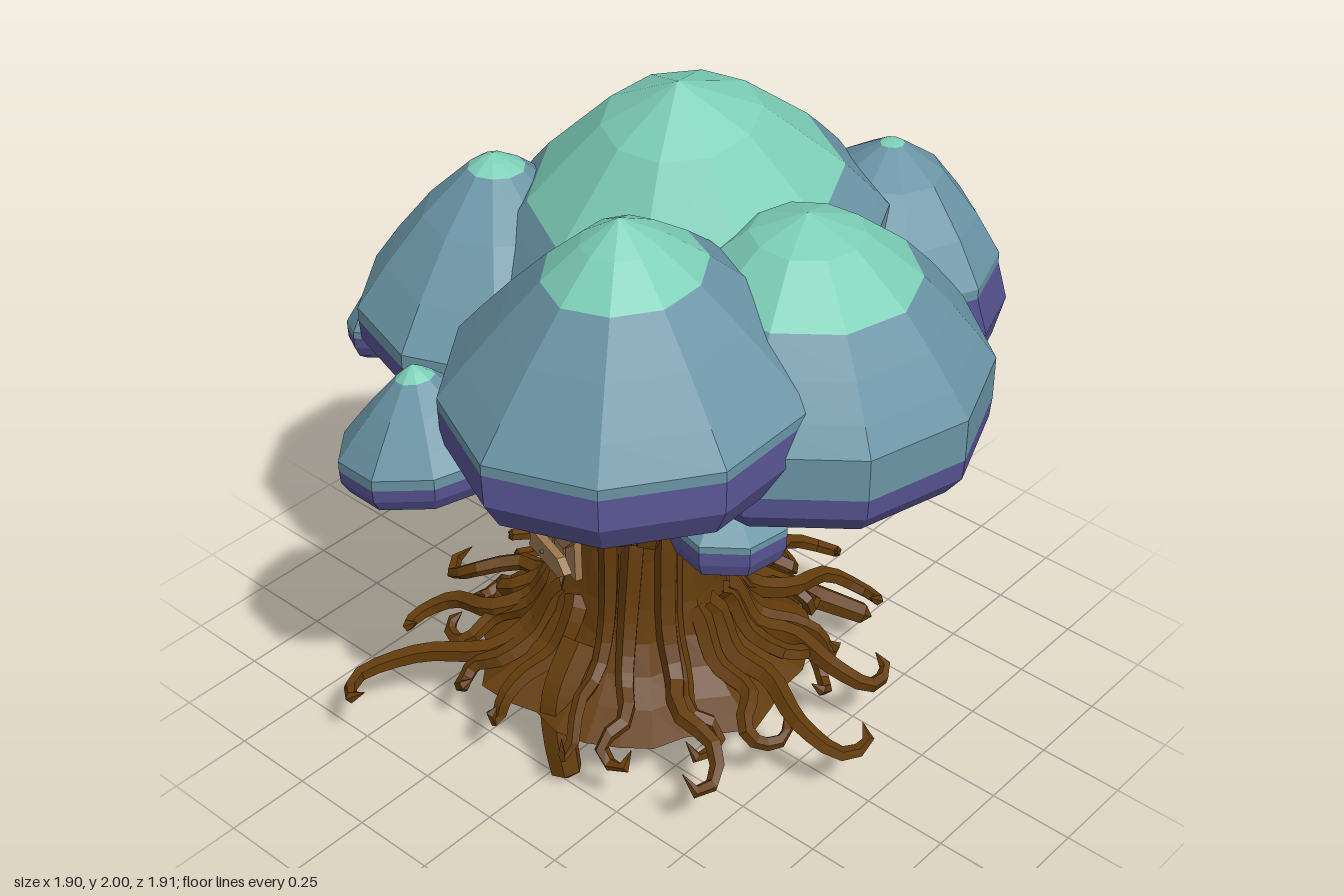
import * as THREE from 'three';

const mat = (name, color) =>
  Object.assign(new THREE.MeshStandardMaterial({ color, flatShading: true }), { name });
const M = {
  teal: mat('tealCrown', 0x7dcfb8),
  blue: mat('blueFoliage', 0x6a94a5),
  purple: mat('purpleRim', 0x575492),
  dark: mat('darkUnderside', 0x3d1a6e),
  bark: mat('bark', 0x623b0b),
  plank: mat('plankWood', 0x9f7952),
  nail: mat('nail', 0x66757a),
};

let seed = 7;
const rand = () => (seed = (seed * 16807) % 2147483647) / 2147483647;
const V = (x, y, z) => new THREE.Vector3(x, y, z);

function add(parent, name, geo, material, pos = [0, 0, 0], rot = [0, 0, 0]) {
  const m = new THREE.Mesh(geo, material);
  m.name = name;
  m.position.set(...pos);
  m.rotation.set(...rot);
  parent.add(m);
}

// Skin between closed rings listed from top to bottom; bands[i] is the material index of band i
function loft(rings, bands) {
  const pos = [], geo = new THREE.BufferGeometry();
  for (let i = 0; i < rings.length - 1; i++) {
    const a = rings[i], b = rings[i + 1], n = a.length, start = pos.length / 3;
    for (let j = 0; j < n; j++) {
      const k = (j + 1) % n;
      if (a[j].distanceTo(a[k]) > 1e-5) for (const p of [a[j], a[k], b[j]]) pos.push(p.x, p.y, p.z);
      if (b[j].distanceTo(b[k]) > 1e-5) for (const p of [a[k], b[k], b[j]]) pos.push(p.x, p.y, p.z);
    }
    if (bands) geo.addGroup(start, pos.length / 3 - start, bands[i]);
  }
  geo.setAttribute('position', new THREE.Float32BufferAttribute(pos, 3));
  geo.computeVertexNormals();
  return geo;
}

// Faceted foliage cap: pointed crown, blue dome, rounded purple rim, hollow dark underside
function cap(parent, name, { apex, c, r, crown, edge, band, bottom, round = 1.4, hollow = 0.74, tilt = [0, 0], lean = [0, 0], sides = 10 }) {
  const dome = f => [f, apex[1] - (apex[1] - edge) * f ** round];
  const s = t => crown + (1 - crown) * t;
  const rim = (f, t) => [f, band + (bottom - band) * t];
  const profile = [[0, apex[1]], dome(crown * 0.5), dome(crown), dome(s(0.4)), dome(s(0.75)), dome(1), [1, band],
    rim(0.99, 0.4), rim(0.9, 0.8), rim(hollow, 1), [hollow * 0.85, bottom + r * 0.06], [hollow * 0.6, bottom + r * 0.18], [0, bottom + r * 0.22]];
  const wobble = Array.from({ length: sides }, () => 0.97 + rand() * 0.07);
  const phase = rand() * 6;
  const rings = profile.map(([f, y], i) => wobble.map((w, j) => {
    const a = phase + (j / sides) * Math.PI * 2;
    const shift = i < 6 ? 1 - f : 0, out = i > 6 ? 1 : 0;
    const dx = f * w * r * Math.cos(a), dz = f * w * r * Math.sin(a);
    return V(c[0] + (apex[0] - c[0]) * shift + lean[0] * out + dx, y + tilt[0] * dx + tilt[1] * dz,
      c[1] + (apex[2] - c[1]) * shift + lean[1] * out + dz);
  }));
  add(parent, name, loft(rings, [0, 0, 1, 1, 1, 1, 2, 2, 2, 3, 3, 3]), [M.teal, M.blue, M.purple, M.dark]);
}

// Tapered tube along a smooth path
function limb(parent, name, points, r0, r1, sides = 5) {
  const curve = new THREE.CatmullRomCurve3(points), n = 16;
  const geo = new THREE.TubeGeometry(curve, n, 1, sides);
  const p = geo.attributes.position, v = V(0, 0, 0);
  for (let i = 0; i <= n; i++) {
    const o = curve.getPointAt(i / n), r = i === n ? 0.001 : r0 + (r1 - r0) * (i / n) ** 1.6;
    for (let j = 0; j <= sides; j++) {
      const k = i * (sides + 1) + j;
      v.fromBufferAttribute(p, k).sub(o).multiplyScalar(r).add(o);
      p.setXYZ(k, v.x, v.y, v.z);
    }
  }
  geo.computeVertexNormals();
  add(parent, name, geo, M.bark);
}

// Trunk outline as [height, radius], around a slightly offset axis
const CX = -0.035, CZ = 0.065;
const outline = [[1.34, 0.46], [1.2, 0.4], [1.1, 0.33], [1.0, 0.26], [0.85, 0.215], [0.65, 0.215],
  [0.5, 0.235], [0.4, 0.262], [0.32, 0.31], [0.26, 0.38], [0.21, 0.48]];
function trunkRadius(y) {
  const i = Math.max(1, outline.findIndex(o => o[0] <= y));
  const [y0, r0] = outline[i - 1], [y1, r1] = outline[i];
  return r0 + (r1 - r0) * (y0 - y) / (y0 - y1);
}
const around = (a, r, y) => V(CX + r * Math.cos(a), y, CZ + r * Math.sin(a));

function buildTrunk(parent) {
  const n = 32;
  const ring = (y, r) => Array.from({ length: n }, (_, j) => {
    const a = (j / n) * Math.PI * 2;
    return around(a, r * (1 + 0.04 * Math.sin(7 * a + 2 * y) + 0.03 * Math.sin(11 * a - 3 * y)), y);
  });
  const rings = [ring(1.36, 0), ...outline.map(([y, r]) => ring(y, r)), ring(0.21, 0)];
  add(parent, 'trunk', loft(rings), M.bark);
}

const boarded = a => { // sides of the trunk covered by planks
  const t = ((a % (2 * Math.PI)) + 2 * Math.PI) % (2 * Math.PI);
  return Math.abs(t - 2.1) < 0.5 || t > 5.6 || t < 0.25;
};

function buildRoots(parent) {
  const root = (a, reach, curl, r) => {
    const top = boarded(a) ? 0.47 : 0.6 + rand() * 0.4;
    const bend = (rand() - 0.5) * 0.3;
    const hump = 0.25 + rand() * 0.05;
    limb(parent, 'root', [
      around(a + bend, trunkRadius(top) - 0.012, top),
      around(a - bend * 0.3, trunkRadius(0.44) + 0.002, 0.44),
      around(a, trunkRadius(0.32) + 0.015, 0.32),
      around(a + curl * 0.12, 0.44, hump),
      around(a - curl * 0.2, (reach + 0.44) / 2, hump - 0.035),
      around(a - curl * 0.1, reach - 0.03, 0.195),
      around(a + curl * 0.16, reach, 0.2),
      around(a + curl * 0.26, reach - 0.035, 0.235)], r, 0.016);
  };
  // Long roots end near these ground points
  for (const [x, z] of [[-0.53, 0.78], [0.73, 0.04], [0.6, -0.25], [0.1, -0.64], [-0.25, -0.72],
    [-0.67, -0.06], [0.33, -0.55], [-0.71, 0.2], [0.52, 0.42], [-0.5, -0.45], [-0.62, 0.45]])
    root(Math.atan2(z - CZ, x - CX), Math.hypot(x - CX, z - CZ), rand() < 0.5 ? -0.4 : 0.4, 0.038);
  // Shorter roots fill the gaps
  for (let i = 0; i < 16; i++)
    root((i + rand() * 0.6) / 16 * Math.PI * 2, 0.52 + rand() * 0.07, (rand() - 0.5) * 1.1, 0.03 + rand() * 0.012);
  // Thick roots reaching down at the front and back
  limb(parent, 'frontRoot', [V(-0.03, 0.36, 0.34), V(-0.01, 0.24, 0.45), V(0.02, 0.12, 0.48), V(0.055, 0.0, 0.49)], 0.058, 0.045, 6);
  limb(parent, 'backRoot', [V(0.06, 0.36, -0.2), V(0.16, 0.22, -0.38), V(0.34, 0.11, -0.54)], 0.045, 0.032, 6);
}

function buildBranches(parent) {
  for (let i = 0; i < 14; i++) {
    const a = (i + rand() * 0.5) / 14 * Math.PI * 2, low = boarded(a) ? 0.98 : 0.72;
    limb(parent, 'branch', [around(a + 0.12, trunkRadius(low) - 0.01, low), around(a, trunkRadius(1.02) + 0.005, 1.02),
      around(a, 0.38, 1.15), around(a - 0.1, 0.48, 1.3)], 0.042, 0.028);
  }
  // Thin branches carrying the small caps, and a beam over the boarded opening
  for (const pts of [
    [[-0.2, 0.98, 0.2], [-0.38, 1.1, 0.24], [-0.6, 1.1, 0.28], [-0.82, 1.06, 0.27]],
    [[0.12, 0.86, 0.16], [0.24, 0.9, 0.22], [0.35, 0.9, 0.27], [0.44, 1.0, 0.27]],
    [[0.0, 0.9, -0.12], [0.06, 0.9, -0.3], [0.04, 0.92, -0.45], [0.03, 1.02, -0.53]],
    [[-0.1, 0.98, 0.26], [-0.14, 1.1, 0.4], [-0.18, 1.12, 0.58], [-0.2, 1.2, 0.73]],
    [[0.15, 0.92, -0.02], [0.26, 0.95, -0.18], [0.3, 1.0, -0.34], [0.28, 1.15, -0.5]],
    [[-0.33, 1.06, 0.24], [-0.24, 0.97, 0.28], [-0.11, 0.87, 0.3]],
  ]) limb(parent, 'thinBranch', pts.map(p => V(...p)), 0.036, 0.02);
}

function board(parent, name, w, h, [x, y, z], tilt = 0, yaw = 0) {
  add(parent, name, new THREE.BoxGeometry(w, h, 0.022), M.plank, [x, y, z], [0, yaw, tilt]);
}
function nail(parent, x, y, z) {
  add(parent, 'nail', new THREE.CylinderGeometry(0.006, 0.006, 0.012, 6), M.nail, [x, y, z], [Math.PI / 2, 0, 0]);
}
function signBoard(parent, name, w, h, x, y, z, tilt) {
  const s = new THREE.Shape([[-w / 2, -h / 2], [w * 0.32, -h / 2], [w / 2, 0], [w * 0.32, h / 2], [-w / 2, h / 2], [-w * 0.43, 0]]
    .map(p => new THREE.Vector2(...p)));
  add(parent, name, new THREE.ExtrudeGeometry(s, { depth: 0.025, bevelEnabled: false }), M.plank, [x, y, z], [0, 0, tilt]);
}

function buildPlanks(parent) {
  // Boarded opening with pointed signs on the front
  const front = new THREE.Group();
  front.name = 'frontBoards';
  front.position.set(-0.155, 0, 0.275);
  front.rotation.y = -0.35;
  for (let i = 0; i < 3; i++) board(front, 'uprightBoard', 0.06, 0.36 + 0.025 * i, [-0.06 + i * 0.065, 0.73 + 0.012 * i, 0], 0.03 * (i - 1));
  signBoard(front, 'signBoard', 0.33, 0.135, 0, 0.745, 0.02, -0.03);
  signBoard(front, 'lowerSign', 0.23, 0.065, -0.01, 0.575, 0.02, 0.05);
  for (const [x, y] of [[-0.02, 0.77], [-0.02, 0.71], [-0.03, 0.575]]) nail(front, x, y, 0.047);
  // Boards on the left side of the trunk
  const side = new THREE.Group();
  side.name = 'sideBoards';
  side.position.set(0.2, 0, -0.02);
  side.rotation.y = Math.PI / 2 + 0.25;
  board(side, 'uprightBoard', 0.095, 0.36, [0.015, 0.73, -0.005], 0.05);
  board(side, 'uprightBoard', 0.095, 0.35, [0.12, 0.69, -0.012], 0.05, 0.5);
  board(side, 'crossBoard', 0.23, 0.09, [0.01, 0.86, 0.03], 0.16);
  nail(side, -0.05, 0.85, 0.042);
  nail(side, 0.08, 0.875, 0.042);
  parent.add(front, side);
}

export function createModel() {
  seed = 7;
  const model = new THREE.Group();
  model.name = 'mushroomTree';
  const wood = new THREE.Group(), foliage = new THREE.Group();
  wood.name = 'wood';
  foliage.name = 'foliage';
  model.add(wood, foliage);
  buildTrunk(wood);
  buildRoots(wood);
  buildBranches(wood);
  buildPlanks(wood);

  // Large caps
  cap(foliage, 'topCap', { apex: [0.03, 2, 0], c: [-0.03, -0.1], r: 0.53, crown: 0.78, edge: 1.51, band: 1.44, bottom: 1.26, round: 1.5, tilt: [0, -0.15], hollow: 0.8 });
  cap(foliage, 'frontCap', { apex: [0.26, 1.9, 0.47], c: [0.24, 0.41], r: 0.495, crown: 0.42, edge: 1.44, band: 1.41, bottom: 1.2, round: 1.25, tilt: [0.03, -0.08], lean: [0.01, 0.01] });
  cap(foliage, 'leftCap', { apex: [0.47, 1.8, 0.02], c: [0.46, -0.02], r: 0.49, crown: 0.6, edge: 1.37, band: 1.25, bottom: 1.1, round: 1.65 });
  cap(foliage, 'rightCap', { apex: [-0.48, 1.68, 0.16], c: [-0.41, 0.15], r: 0.43, crown: 0.18, edge: 1.28, band: 1.24, bottom: 1.09, round: 1.4 });
  cap(foliage, 'backRightCap', { apex: [-0.42, 1.59, -0.66], c: [-0.37, -0.59], r: 0.345, crown: 0.1, edge: 1.34, band: 1.31, bottom: 1.04, round: 2.1, hollow: 0.58, lean: [-0.02, -0.03] });
  cap(foliage, 'backLeftCap', { apex: [0.25, 1.66, -0.63], c: [0.25, -0.59], r: 0.335, crown: 0.1, edge: 1.35, band: 1.32, bottom: 1.02, round: 1.8, hollow: 0.58, lean: [0.02, -0.03] });
  // Small caps
  cap(foliage, 'smallFrontCap', { apex: [-0.2, 1.42, 0.74], c: [-0.18, 0.73], r: 0.235, crown: 0.22, edge: 1.2, band: 1.17, bottom: 1.08, round: 1.2, tilt: [0.18, 0], sides: 9 });
  cap(foliage, 'smallRightCap', { apex: [-0.86, 1.2, 0.26], c: [-0.81, 0.25], r: 0.145, crown: 0.4, edge: 1.08, band: 1.06, bottom: 0.98, round: 1.2, tilt: [0.3, 0], sides: 8 });
  cap(foliage, 'smallLeftCap', { apex: [0.44, 1.12, 0.27], c: [0.44, 0.26], r: 0.165, crown: 0.35, edge: 1.01, band: 0.99, bottom: 0.89, round: 1.2, sides: 8 });
  cap(foliage, 'smallBackCap', { apex: [0.03, 1.17, -0.52], c: [0.04, -0.52], r: 0.165, crown: 0.3, edge: 1.07, band: 1.04, bottom: 0.95, tilt: [0, 0.2], sides: 8 });
  return model;
}
